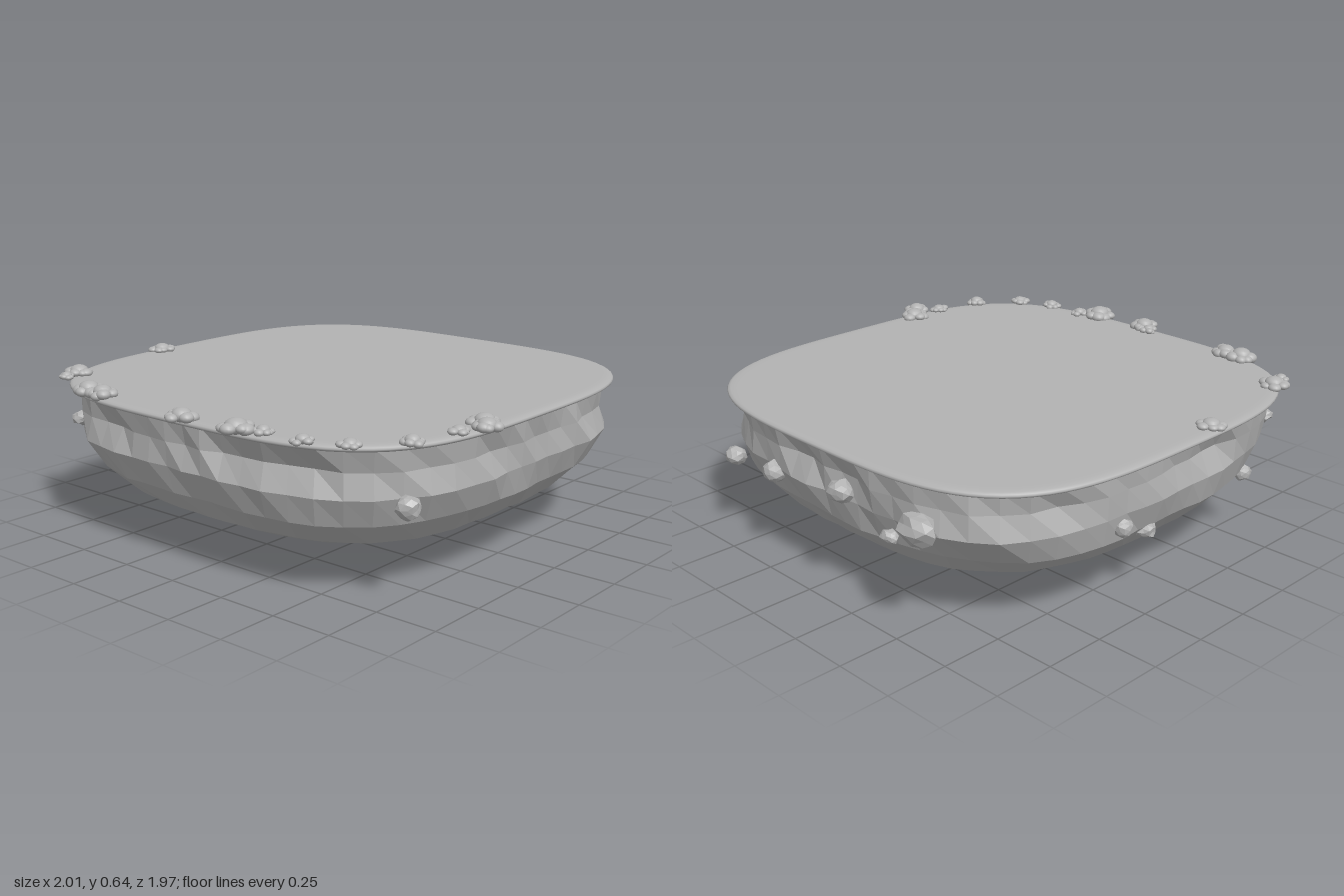
import * as THREE from 'three';
import { mergeGeometries, mergeVertices } from 'three/addons/utils/BufferGeometryUtils.js';

const SEGMENTS = 64;
const CENTRE = { x: 0.012, z: -0.032 };

// Repeatable noise in 0..1
const hash = (a, b = 0) => {
  const s = Math.sin(a * 127.1 + b * 311.7 + 5.3) * 43758.5453;
  return s - Math.floor(s);
};

// Radius factor that turns a circle into a rounded square
const squircle = (angle, n) =>
  Math.pow(Math.abs(Math.cos(angle)) ** n + Math.abs(Math.sin(angle)) ** n, -1 / n);

// Revolve [radius, y] points, then square off every ring and roughen it
function squareLathe(profile, n, roughness, segments) {
  const g = new THREE.LatheGeometry(profile.map(([r, y]) => new THREE.Vector2(r, y)), segments);
  const p = g.attributes.position;
  const rings = profile.length;
  for (let k = 0; k < p.count; k++) {
    const i = Math.floor(k / rings) % segments, j = k % rings;
    const a = (i / segments) * Math.PI * 2;
    const wave = Math.sin(a * 3 + j * 1.3) * 0.35 + Math.sin(a * 7 + j * 2.1) * 0.35;
    const f = 1 + roughness[j] * (wave + hash(i, j) - 0.5);
    const r = profile[j][0] * squircle(a, n[j]) * f;
    p.setXYZ(k, r * Math.sin(a), profile[j][1], r * Math.cos(a));
  }
  g.deleteAttribute('uv');
  g.deleteAttribute('normal');
  return mergeVertices(g, 1e-5);
}

function flat(g) {
  const out = g.index ? g.toNonIndexed() : g;
  out.computeVertexNormals();
  return out;
}

// Angular stone with a repeatable irregular shape
function stone(seed) {
  const g = new THREE.IcosahedronGeometry(1, 1);
  const p = g.attributes.position;
  const v = new THREE.Vector3();
  for (let i = 0; i < p.count; i++) {
    v.fromBufferAttribute(p, i);
    const key = Math.round(v.x * 50) + Math.round(v.y * 50) * 1.7 + Math.round(v.z * 50) * 2.9;
    v.multiplyScalar(0.82 + 0.3 * hash(key, seed));
    p.setXYZ(i, v.x, v.y, v.z);
  }
  return flat(g);
}

// Clump of small round lobes sitting on the rim
function clump(radius, height, seed) {
  const lobes = [];
  const add = (x, y, z, r) => {
    const g = new THREE.SphereGeometry(r, 14, 10);
    g.scale(1, Math.min(1, height / radius), 1);
    lobes.push(g.translate(x, y, z));
  };
  add(0, height * 0.3, 0, radius * 0.6);
  for (let i = 0; i < 7; i++) {
    const a = (i / 7) * Math.PI * 2 + hash(i, seed) * 0.7;
    const d = radius * (0.5 + 0.2 * hash(i + 20, seed));
    add(Math.cos(a) * d, height * 0.25 * hash(i + 9, seed), Math.sin(a) * d,
      radius * (0.34 + 0.12 * hash(i + 40, seed)));
  }
  return mergeGeometries(lobes);
}

export function createModel() {
  const model = new THREE.Group();
  const grey = new THREE.MeshStandardMaterial({ color: 0xb2b2b2 });
  grey.name = 'stone grey';

  const add = (geometry, name, x, y, z) => {
    const mesh = new THREE.Mesh(geometry, grey);
    mesh.name = name;
    mesh.position.set(x, y, z);
    model.add(mesh);
    return mesh;
  };

  // Thin flat top with a rounded lip
  const slabProfile = [
    [0, 0.573], [0.93, 0.573], [0.947, 0.576], [0.955, 0.581], [0.957, 0.587],
    [0.954, 0.593], [0.945, 0.598], [0.925, 0.6], [0.9, 0.6], [0, 0.6],
  ];
  const slab = squareLathe(slabProfile, slabProfile.map(() => 3.5), slabProfile.map(() => 0), 128);
  slab.computeVertexNormals();
  add(slab, 'topSlab', CENTRE.x, 0, CENTRE.z);

  // Faceted rock bowl underneath
  const bowlProfile = [
    [0, 0.005], [0.365, 0.04], [0.615, 0.103], [0.8, 0.19], [0.883, 0.285],
    [0.92, 0.395], [0.905, 0.49], [0.925, 0.58],
  ];
  const bowl = squareLathe(bowlProfile, [2.2, 2.3, 2.6, 3, 3.3, 3.5, 3.5, 3.5],
    [0, 0.01, 0.01, 0.012, 0.018, 0.022, 0.03, 0.01], SEGMENTS);
  add(flat(bowl), 'rockBowl', CENTRE.x, 0, -0.022);

  // Lobed clumps along the rim: x, z, radius, height
  const clumps = [
    [-0.165, -0.94, 0.056, 0.034], [-0.7, -0.85, 0.062, 0.04], [-0.78, -0.83, 0.036, 0.025],
    [-0.885, -0.56, 0.068, 0.05], [-0.885, -0.48, 0.062, 0.045],
    [-0.935, 0.01, 0.064, 0.045], [-0.905, -0.04, 0.04, 0.03],
    [-0.925, 0.27, 0.072, 0.05], [-0.885, 0.36, 0.042, 0.03],
    [-0.885, 0.54, 0.044, 0.03], [-0.825, 0.695, 0.046, 0.03], [-0.665, 0.83, 0.047, 0.034],
    [-0.455, 0.87, 0.043, 0.028], [-0.3, 0.87, 0.064, 0.042], [-0.36, 0.92, 0.062, 0.046],
  ];
  clumps.forEach(([x, z, r, h], i) => add(clump(r, h, i + 1), 'rimClump', x, 0.603, z));

  // Loose stones set into the sides: x, y, z, half sizes
  const stones = [
    [0.945, 0.43, -0.56, 0.055, 0.06, 0.09],
    [0.94, 0.435, -0.14, 0.045, 0.045, 0.055],
    [0.925, 0.375, 0.29, 0.045, 0.045, 0.053],
    [0.895, 0.345, 0.59, 0.045, 0.036, 0.05],
    [0.91, 0.325, -0.37, 0.03, 0.028, 0.04],
    [-0.67, 0.375, 0.82, 0.046, 0.046, 0.045],
    [0.3, 0.34, -0.92, 0.04, 0.035, 0.035],
    [0.13, 0.265, -0.89, 0.04, 0.033, 0.04],
    [-0.54, 0.27, -0.84, 0.038, 0.033, 0.035],
    [-0.76, 0.44, -0.77, 0.04, 0.03, 0.04],
  ];
  stones.forEach(([x, y, z, sx, sy, sz], i) =>
    add(stone(i + 1), 'sideStone', x, y, z).scale.set(sx, sy, sz));

  return model;
}
